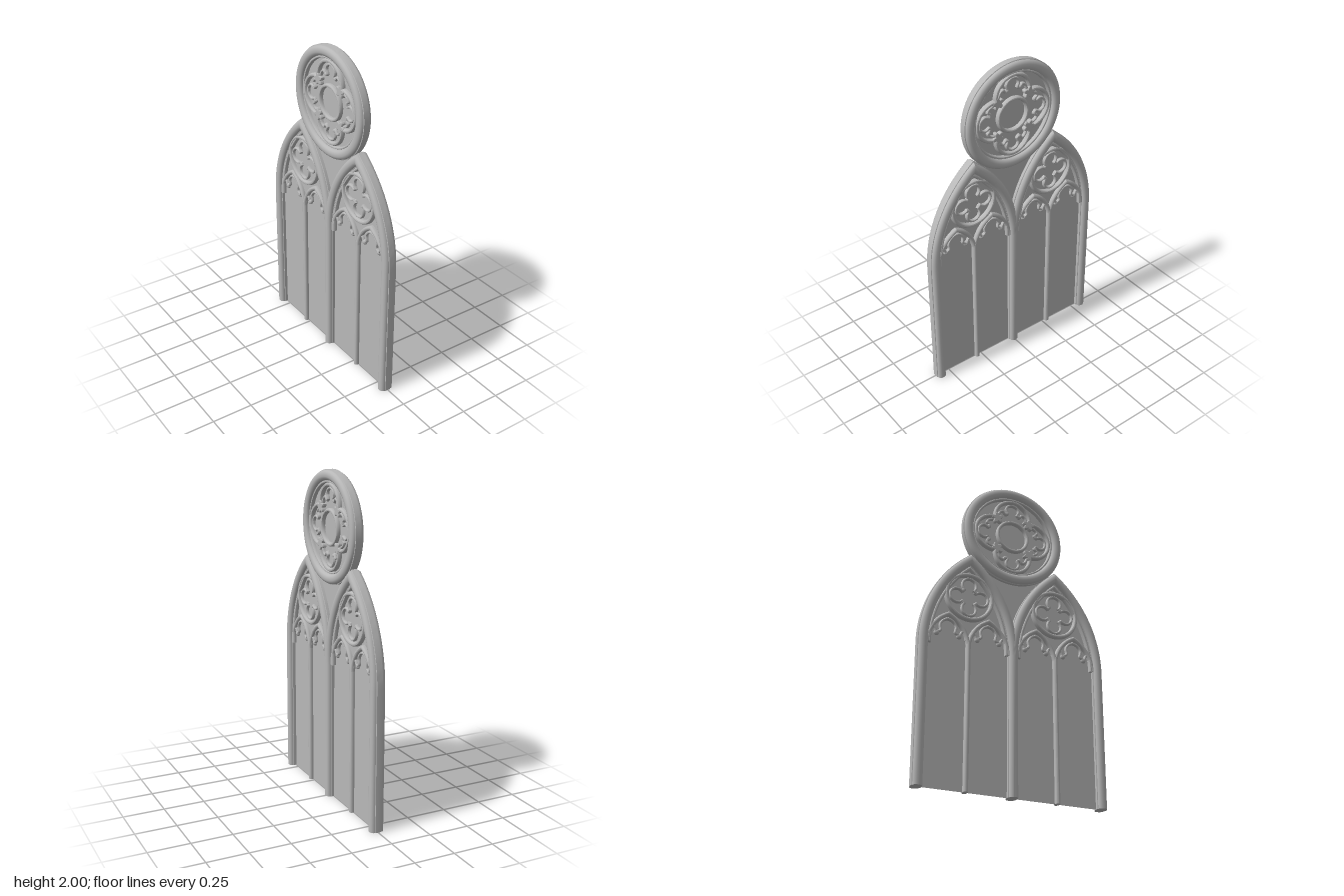
import * as THREE from 'three';
import { toCreasedNormals } from 'three/addons/utils/BufferGeometryUtils.js';

const stone = new THREE.MeshStandardMaterial({ color: 0xb8b8b8, side: THREE.DoubleSide });
stone.name = 'grey stone';

// Light (lancet) layout: drawn flat in XY, then turned to face sideways
const HALF = 0.2825, SPRING = 0.85, RISE = 0.58, ROSE_Y = 1.667;
const V = (x, y) => new THREE.Vector2(x, y);

// Closed moulding section mirrored from one quadrant of [across, depth] points
function section(q) {
  const r = [...q].reverse();
  return [...q, ...r.map(([n, z]) => [-n, z]), ...q.map(([n, z]) => [-n, -z]), ...r.map(([n, z]) => [n, -z])];
}
const roll = (w, d) => section([[w, 0.3 * d], [0.85 * w, 0.68 * d], [0.55 * w, 0.92 * d], [0.18 * w, d]]);
const stepped = (w, d) => section([[w, 0.42 * d], [0.86 * w, 0.46 * d], [0.82 * w, 0.68 * d], [0.62 * w, 0.88 * d], [0.25 * w, d]]);

// Sweep a section along a flat path with mitred corners
function sweep(path, prof, closed = false) {
  const n = path.length, m = prof.length, pos = [];
  const dir = (a, b) => path[b].clone().sub(path[a]).normalize();
  const rings = path.map((p, i) => {
    const t0 = closed || i > 0 ? dir((i - 1 + n) % n, i) : dir(0, 1);
    const t1 = closed || i < n - 1 ? dir(i, (i + 1) % n) : t0;
    const s = 1 / Math.max(0.35, 1 + t0.dot(t1));
    const nx = -(t0.y + t1.y) * s, ny = (t0.x + t1.x) * s;
    return prof.map(([a, z]) => [p.x + nx * a, p.y + ny * a, z]);
  });
  for (let i = 0; i < (closed ? n : n - 1); i++) {
    const A = rings[i], B = rings[(i + 1) % n];
    for (let j = 0; j < m; j++) {
      const k = (j + 1) % m;
      pos.push(...A[j], ...A[k], ...B[k], ...A[j], ...B[k], ...B[j]);
    }
  }
  if (!closed) for (let j = 0; j < m; j++) {
    const k = (j + 1) % m, A = rings[0], B = rings[n - 1];
    pos.push(path[0].x, path[0].y, 0, ...A[k], ...A[j]);
    pos.push(path[n - 1].x, path[n - 1].y, 0, ...B[j], ...B[k]);
  }
  const g = new THREE.BufferGeometry();
  g.setAttribute('position', new THREE.Float32BufferAttribute(pos, 3));
  return toCreasedNormals(g, 0.6);
}

function arc(cx, cy, r, a0, a1, n) {
  return Array.from({ length: n + 1 }, (_, i) => {
    const a = (a0 + (a1 - a0) * i / n) * Math.PI / 180;
    return V(cx + r * Math.cos(a), cy + r * Math.sin(a));
  });
}
const circle = (cx, cy, r, n = 64) => arc(cx, cy, r, 0, 360, n).slice(0, -1);

// Pointed arch centred on x = cx; inset moves it inwards concentrically
function pointedArch(cx, half, rise, inset = 0, foot = null, n = 20) {
  const R = (half * half + rise * rise) / (2 * half), r = R - inset;
  const top = Math.acos((R - half) / r) * 180 / Math.PI;
  const right = arc(half - R, SPRING, r, 0, top, n);
  if (foot !== null) right.unshift(V(half - inset, foot));
  const left = right.slice(0, -1).reverse().map(p => V(-p.x, p.y));
  return [...right, ...left].map(p => V(p.x + cx, p.y));
}
const spline = (pts, n) => new THREE.SplineCurve(pts.map(p => V(...p))).getPoints(n);

export function createModel() {
  const model = new THREE.Group();
  model.name = 'traceryWindow';
  const add = (name, geo, parent = model) => {
    const mesh = new THREE.Mesh(geo, stone);
    mesh.name = name;
    parent.add(mesh);
    return mesh;
  };
  const knob = (name, x, y, r, d, parent) => {
    const k = add(name, new THREE.SphereGeometry(r, 12, 8), parent);
    k.position.set(x, y, 0);
    k.scale.z = d / r;
  };

  // Thin panes filling the openings
  for (const s of [-1, 1])
    add('lancetPane', new THREE.ShapeGeometry(new THREE.Shape(pointedArch(s * HALF, HALF, RISE, 0, 0))));
  add('rosePane', new THREE.ShapeGeometry(new THREE.Shape(circle(0, ROSE_Y, 0.3))));
  add('spandrelPane', new THREE.ShapeGeometry(new THREE.Shape([V(0, 1.0), V(0.25, 1.45), V(-0.25, 1.45)])));

  // Two lancets, each with two cusped lights and a quatrefoil
  for (const s of [-1, 1]) {
    const g = new THREE.Group(), cx = s * HALF;
    g.name = s > 0 ? 'lancetA' : 'lancetB';
    model.add(g);
    add('lancetFrame', sweep(pointedArch(cx, HALF, RISE, 0, 0), stepped(0.031, 0.043)), g);
    add('innerArch', sweep(pointedArch(cx, HALF, RISE, 0.04), roll(0.011, 0.022)), g);
    add('mullion', sweep([V(cx, 0), V(cx, 0.9)], roll(0.015, 0.024)), g);

    for (const t of [-1, 1]) {
      const lx = cx + t * 0.127;
      add('lightArch', sweep(pointedArch(lx, 0.127, 0.2, 0, null, 12), roll(0.013, 0.023)), g);
      // Trefoil head: a centre lobe, two side foils and cusp ends
      const lobe = [[0.066, 0.925], [0.046, 0.94], [0.05, 0.975], [0.03, 1.005], [0, 1.017]];
      const full = [...lobe, ...lobe.slice(0, -1).reverse().map(([x, y]) => [-x, y])];
      add('trefoilLobe', sweep(spline(full.map(([x, y]) => [lx + x, y]), 32), roll(0.008, 0.016)), g);
      for (const e of [-1, 1]) {
        const foil = [[0.114, 0.9], [0.104, 0.94], [0.088, 0.95], [0.075, 0.925]];
        add('sideFoil', sweep(spline(foil.map(([x, y]) => [lx + e * x, y]), 12), roll(0.008, 0.016)), g);
        knob('cuspEnd', lx + e * 0.07, 0.92, 0.017, 0.018, g);
      }
    }

    // Quatrefoil roundel
    const qy = 1.185, foils = [];
    add('roundel', sweep(circle(cx, qy, 0.145, 48), roll(0.013, 0.025)), g).geometry =
      sweep(circle(cx, qy, 0.145, 48), roll(0.013, 0.025), true);
    for (let k = 0; k < 4; k++) {
      const a = k * Math.PI / 2;
      foils.push(...arc(cx + 0.077 * Math.cos(a), qy + 0.077 * Math.sin(a), 0.045, k * 90 - 135, k * 90 + 135, 20));
      const b = a + Math.PI / 4;
      knob('quatrefoilCusp', cx + 0.056 * Math.cos(b), qy + 0.056 * Math.sin(b), 0.013, 0.018, g);
    }
    add('quatrefoil', sweep(foils, roll(0.008, 0.018), true), g);
  }

  // Rose: rim, inner ring and centre eye
  const rose = new THREE.Group();
  rose.name = 'rose';
  rose.position.y = ROSE_Y;
  model.add(rose);
  add('roseRim', sweep(circle(0, 0, 0.3, 96), stepped(0.033, 0.041), true), rose);
  add('roseInnerRing', sweep(circle(0, 0, 0.264, 72), roll(0.008, 0.022), true), rose);
  add('roseEye', sweep(circle(0, 0, 0.1, 48), roll(0.011, 0.024), true), rose);

  // Four petals with trefoil cusping, and leaf bosses between them
  const half = [[0.1, 0.125], [0.088, 0.158], [0.066, 0.172], [0.05, 0.155], [0.032, 0.163],
    [0.043, 0.19], [0.03, 0.217], [0, 0.228]];
  const cusps = [...half, ...half.slice(0, -1).reverse().map(([x, y]) => [-x, y])];
  const leaf = new THREE.Shape(Array.from({ length: 40 }, (_, i) => {
    const a = i * Math.PI / 20, r = 0.027 + 0.008 * Math.cos(5 * a);
    return V(r * Math.cos(a), r * Math.sin(a));
  }));
  const leafGeo = new THREE.ExtrudeGeometry(leaf, {
    depth: 0.04, bevelEnabled: true, bevelSize: 0.004, bevelThickness: 0.006, bevelSegments: 2,
  }).translate(0, 0, -0.02);
  for (let k = 0; k < 4; k++) {
    const petal = new THREE.Group();
    petal.name = 'rosePetal';
    petal.rotation.z = k * Math.PI / 2;
    rose.add(petal);
    add('petalArc', sweep(arc(0, 0.13, 0.118, -22, 202, 36), roll(0.012, 0.025)), petal);
    add('petalCusping', sweep(spline(cusps, 56), roll(0.008, 0.017)), petal);
    for (const e of [-1, 1]) knob('petalCusp', e * 0.045, 0.157, 0.014, 0.018, petal);
    const boss = add('leafBoss', leafGeo, petal);
    boss.position.set(0.108, 0.108, 0);
    boss.rotation.z = Math.PI * 1.25;
  }

  // Turn the window so its faces look along x
  model.rotation.y = Math.PI / 2;
  const root = new THREE.Group();
  root.name = 'window';
  root.add(model);
  return root;
}
